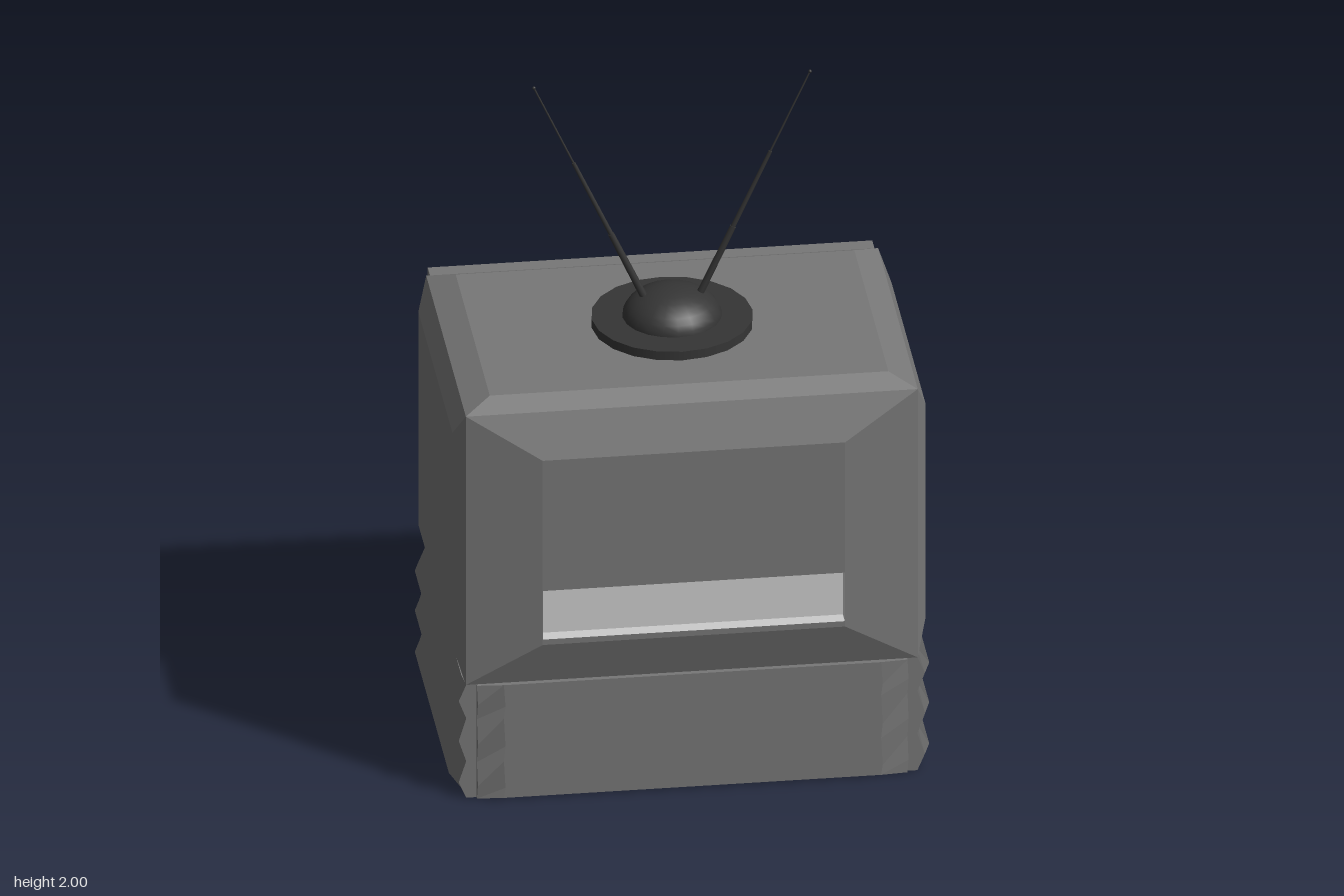
import * as THREE from 'three';

const casing = new THREE.MeshStandardMaterial({ name: 'casingGrey', color: 0x777777 });
const dark = new THREE.MeshStandardMaterial({ name: 'charcoal', color: 0x353535 });
const light = new THREE.MeshStandardMaterial({ name: 'paleGrey', color: 0xcccccc });

// Faceted skin through rings of [x, y, z] points, counter-clockwise seen from +z
function loft(rings, { start = false, end = false } = {}) {
  const pos = [];
  const n = rings[0].length;
  for (let r = 0; r + 1 < rings.length; r++) {
    for (let i = 0; i < n; i++) {
      const j = (i + 1) % n, a = rings[r], b = rings[r + 1];
      pos.push(...a[i], ...a[j], ...b[j], ...a[i], ...b[j], ...b[i]);
    }
  }
  const cap = (ring, flip) => {
    const c = [0, 1, 2].map(k => ring.reduce((s, p) => s + p[k], 0) / n);
    for (let i = 0; i < n; i++) {
      const p = ring[i], q = ring[(i + 1) % n];
      pos.push(...c, ...(flip ? q : p), ...(flip ? p : q));
    }
  };
  if (start) cap(rings[0], true);
  if (end) cap(rings[rings.length - 1], false);
  const g = new THREE.BufferGeometry();
  g.setAttribute('position', new THREE.Float32BufferAttribute(pos, 3));
  g.computeVertexNormals();
  return g;
}

// Rectangle ring by half width, y range and depth
const rect = (w, y0, y1, z) => [[-w, y0, z], [w, y0, z], [w, y1, z], [-w, y1, z]];

// Rectangle ring with cut corners
const cutRect = (w, h, c, z) => [
  [-w + c, -h, z], [w - c, -h, z], [w, -h + c, z], [w, h - c, z],
  [w - c, h, z], [-w + c, h, z], [-w, h - c, z], [-w, -h + c, z]];

export function createModel() {
  const model = new THREE.Group();
  model.name = 'television';
  const add = (name, geometry, material, x = 0, y = 0, z = 0) => {
    const mesh = new THREE.Mesh(geometry, material);
    mesh.name = name;
    mesh.position.set(x, y, z);
    model.add(mesh);
    return mesh;
  };
  const box = (name, w, h, d, material, x, y, z) =>
    add(name, new THREE.BoxGeometry(w, h, d), material, x, y, z);

  // Upper cabinet: a core box with a bevelled panel on each outer face
  box('cabinetCore', 1.27, 0.845, 0.85, casing, 0, 0.7775, 0.005);
  add('cabinetTop', loft([rect(0.635, -0.43, 0.42, 1.2), rect(0.56, -0.37, 0.36, 1.23)],
    { end: true }).rotateX(-Math.PI / 2), casing);
  for (const s of [1, -1]) {
    add(s > 0 ? 'cabinetLeftSide' : 'cabinetRightSide',
      loft([rect(0.425, 0.355, 1.2, 0.635), rect(0.365, 0.45, 1.12, 0.665)], { end: true })
        .rotateY(s * Math.PI / 2), casing, 0, 0, 0.005);
  }

  // Rear panel with a recessed vent slot
  const slotMouth = rect(0.424, 0.507, 0.66, 0.475);
  add('rearPanel', loft([rect(0.635, 0.355, 1.2, 0.43), rect(0.425, 0.49, 1.07, 0.475), slotMouth]), casing);
  add('ventSlot', loft([slotMouth, rect(0.424, 0.507, 0.66, 0.434)], { end: true }), light);

  // Ribbed base: one plan outline swelling in and out up the height
  const plan = (y, o) => {
    const half = [[0.53, -0.43 - o], [0.605, -0.43 - 0.6 * o], [0.605, -0.43], [0.625 + 0.6 * o, -0.43],
      [0.625 + o, -0.37], [0.625 + o, 0.36], [0.625 + 0.6 * o, 0.42]];
    const mirrored = half.map(([x, z]) => [-x, z]).reverse();
    return [...half, ...mirrored].map(([x, z]) => [x, z, y]);
  };
  const ribs = [[0, 0.015], [0.05, 0.05], [0.115, 0.015], [0.18, 0.05], [0.25, 0.015], [0.305, 0.05], [0.355, 0.015]];
  const baseGeo = loft(ribs.map(([y, o]) => plan(y, o)), { start: true, end: true }).rotateX(-Math.PI / 2);
  // Soft shading up the ribs
  const nor = baseGeo.attributes.normal;
  const v = new THREE.Vector3();
  for (let i = 0; i < nor.count; i++) {
    v.fromBufferAttribute(nor, i);
    if (Math.abs(v.y) < 0.95) {
      v.setY(0).normalize();
      nor.setXYZ(i, v.x, v.y, v.z);
    }
  }
  add('ribbedBase', baseGeo, casing);

  // Screen surround, stepping in to a cut-corner opening
  const screenEdge = cutRect(0.49, 0.335, 0.075, 0.43);
  add('screenSurround', loft([
    cutRect(0.625, 0.4225, 0.001, 0.41), cutRect(0.625, 0.4225, 0.001, 0.468),
    cutRect(0.6, 0.4, 0.001, 0.485), cutRect(0.57, 0.375, 0.001, 0.485),
    cutRect(0.56, 0.365, 0.001, 0.455), cutRect(0.52, 0.35, 0.09, 0.455), screenEdge,
  ]).rotateY(Math.PI), casing, 0, 0.7775, 0);
  add('screen', loft([screenEdge, cutRect(0.47, 0.32, 0.07, 0.432)], { end: true })
    .rotateY(Math.PI), dark, 0, 0.7775, 0);

  // Control panel: dark strips, knobs and a slatted speaker grille
  for (const s of [1, -1]) {
    for (const x of [0.18, 0.55]) box('controlStrip', 0.1, 0.35, 0.009, dark, s * x, 0.177, -0.424);
    const dial = (name, r, depth, z, sides) => {
      const g = new THREE.CylinderGeometry(r, r, depth, sides).toNonIndexed();
      g.computeVertexNormals();
      add(name, g.rotateX(Math.PI / 2), dark, s * 0.368, 0.175, z);
    };
    dial('knobPlate', 0.108, 0.018, -0.426, 10);
    dial('knob', 0.065, 0.05, -0.457, 10);
  }
  box('grilleBacking', 0.262, 0.35, 0.006, dark, 0, 0.177, -0.422);
  for (let i = 0; i < 4; i++) box('grilleSlat', 0.262, 0.045, 0.012, casing, 0, 0.05 + i * 0.083, -0.425);

  // Aerial base: flat disc and low dome
  add('aerialDisc', new THREE.CylinderGeometry(0.226, 0.226, 0.03, 20), dark, 0, 1.242, 0.005);
  const dome = new THREE.SphereGeometry(0.14, 20, 8, 0, Math.PI * 2, 0, Math.PI / 2);
  add('aerialDome', dome.scale(1, 0.64, 1), dark, 0, 1.252, 0.005);

  // Telescopic aerial rods, each section thinner than the last
  const foot = new THREE.Vector3(0.07, 1.3, 0.005);
  const tip = new THREE.Vector3(0.388, 1.996, 0.005);
  const sections = [[0, 0.32, 0.011], [0.32, 0.65, 0.007], [0.65, 1, 0.003]];
  for (const s of [1, -1]) {
    const rod = new THREE.Group();
    rod.name = s > 0 ? 'leftAerial' : 'rightAerial';
    const dir = tip.clone().sub(foot);
    const length = dir.length();
    for (const [a, b, r] of sections) {
      const g = new THREE.CylinderGeometry(r * 0.8, r, (b - a) * length, 8);
      const section = new THREE.Mesh(g.translate(0, (a + b) / 2 * length, 0), dark);
      section.name = 'aerialSection';
      rod.add(section);
    }
    const bead = new THREE.Mesh(new THREE.SphereGeometry(0.005, 8, 6), dark);
    bead.name = 'aerialTip';
    bead.position.y = length;
    rod.add(bead);
    rod.position.set(s * foot.x, foot.y, foot.z);
    rod.rotation.z = -s * Math.atan2(dir.x, dir.y);
    model.add(rod);
  }
  return model;
}
